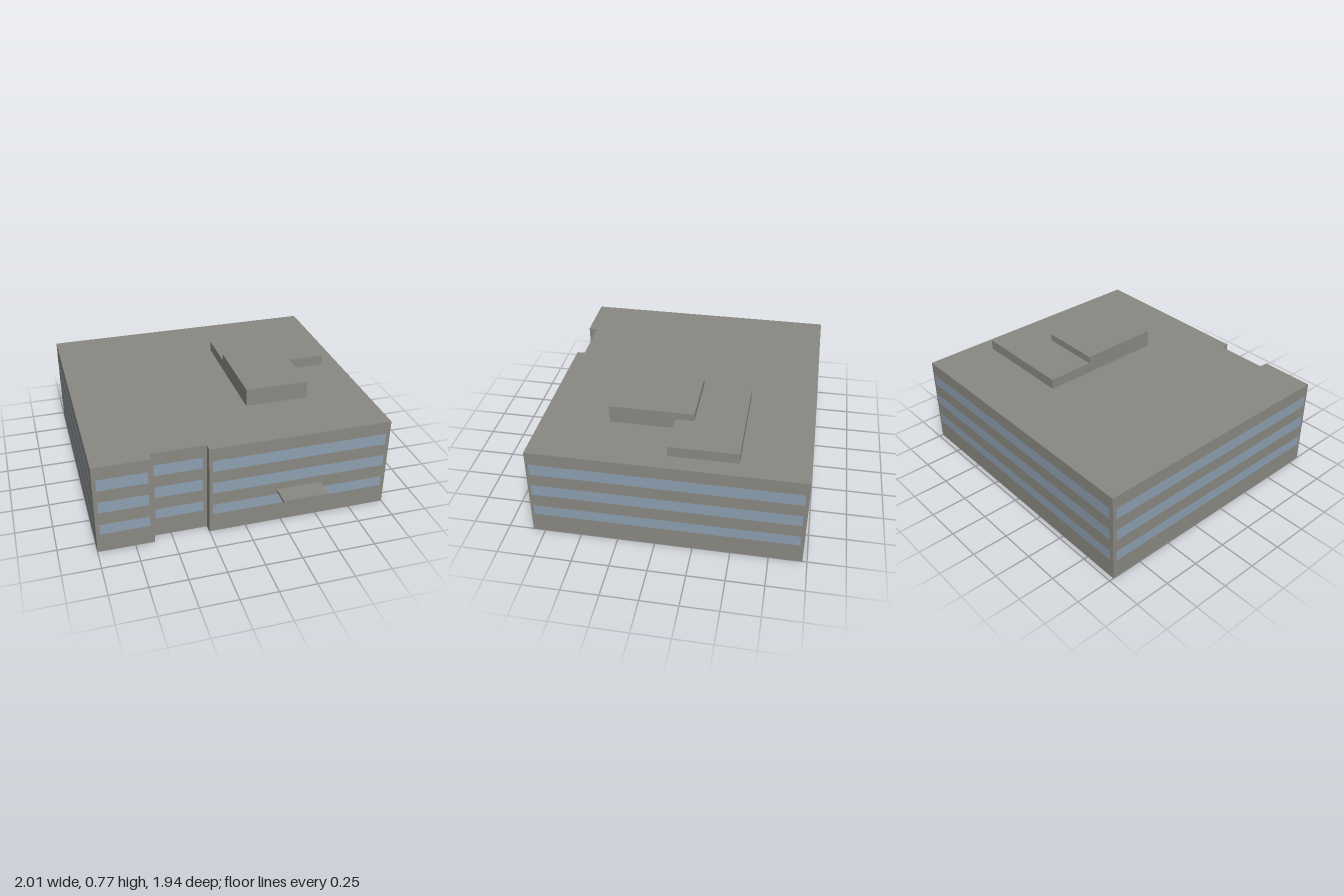
import * as THREE from 'three';

export function createModel() {
  const model = new THREE.Group();
  model.name = 'building';

  const concrete = new THREE.MeshStandardMaterial({ color: 0x8a8881 });
  concrete.name = 'concrete';
  concrete.side = THREE.DoubleSide;
  const glass = new THREE.MeshStandardMaterial({ color: 0x8d9fb0 });
  glass.name = 'window glass';

  const roofY = 0.648;

  // Upright panel from a to b ([x, z]), facing outward, pushed out by offset
  function panel(name, material, a, b, y0, y1, offset = 0) {
    const dx = b[0] - a[0], dz = b[1] - a[1];
    const length = Math.hypot(dx, dz);
    const mesh = new THREE.Mesh(new THREE.PlaneGeometry(length, y1 - y0), material);
    mesh.name = name;
    mesh.rotation.y = Math.atan2(-dz, dx);
    mesh.position.set(
      (a[0] + b[0]) / 2 - (dz / length) * offset,
      (y0 + y1) / 2,
      (a[1] + b[1]) / 2 + (dx / length) * offset
    );
    model.add(mesh);
  }

  // Box given by its limits
  function block(name, x0, x1, y0, y1, z0, z1) {
    const mesh = new THREE.Mesh(new THREE.BoxGeometry(x1 - x0, y1 - y0, z1 - z0), concrete);
    mesh.name = name;
    mesh.position.set((x0 + x1) / 2, (y0 + y1) / 2, (z0 + z1) / 2);
    model.add(mesh);
  }

  // Footprint corners [x, z], running along the front, right, back and left
  const footprint = [
    [-1, 0.84], [-0.623, 0.84], [-0.623, 0.777], [-0.252, 0.777],
    [-0.252, 0.833], [1, 0.833], [1, -0.97], [-1, -0.97],
  ];

  // Walls, open underneath
  footprint.forEach((p, i) => {
    panel('wall', concrete, p, footprint[(i + 1) % footprint.length], 0, roofY);
  });

  // Flat roof
  const outline = new THREE.Shape(footprint.map(([x, z]) => new THREE.Vector2(x, -z)));
  const roof = new THREE.Mesh(new THREE.ShapeGeometry(outline), concrete);
  roof.name = 'roof';
  roof.rotation.x = -Math.PI / 2;
  roof.position.y = roofY;
  model.add(roof);

  // Window bands on three floors; the ground floor breaks at the entrance
  const floors = [[0.14, 0.216], [0.307, 0.39], [0.476, 0.559]];
  floors.forEach(([y0, y1], floor) => {
    const bands = [
      [[-0.975, 0.84], [-0.648, 0.84]],
      [[-0.6, 0.777], [-0.278, 0.777]],
      [[1, 0.81], [1, -0.945]],
      [[0.975, -0.97], [-0.975, -0.97]],
      [[-1, -0.945], [-1, 0.815]],
    ];
    if (floor === 0) {
      bands.push([[-0.228, 0.833], [0.276, 0.833]], [[0.468, 0.833], [0.972, 0.833]]);
    } else {
      bands.push([[-0.228, 0.833], [0.972, 0.833]]);
    }
    bands.forEach(([a, b]) => panel('windowBand', glass, a, b, y0, y1, 0.003));
  });

  // Rooftop plant rooms and entrance canopy
  block('tallPlantRoom', 0.139, 0.579, roofY, 0.771, -0.192, 0.375);
  block('lowPlantRoom', 0.14, 0.877, roofY, 0.72, -0.524, -0.068);
  block('entranceCanopy', 0.214, 0.525, 0.234, 0.252, 0.833, 0.97);

  return model;
}
